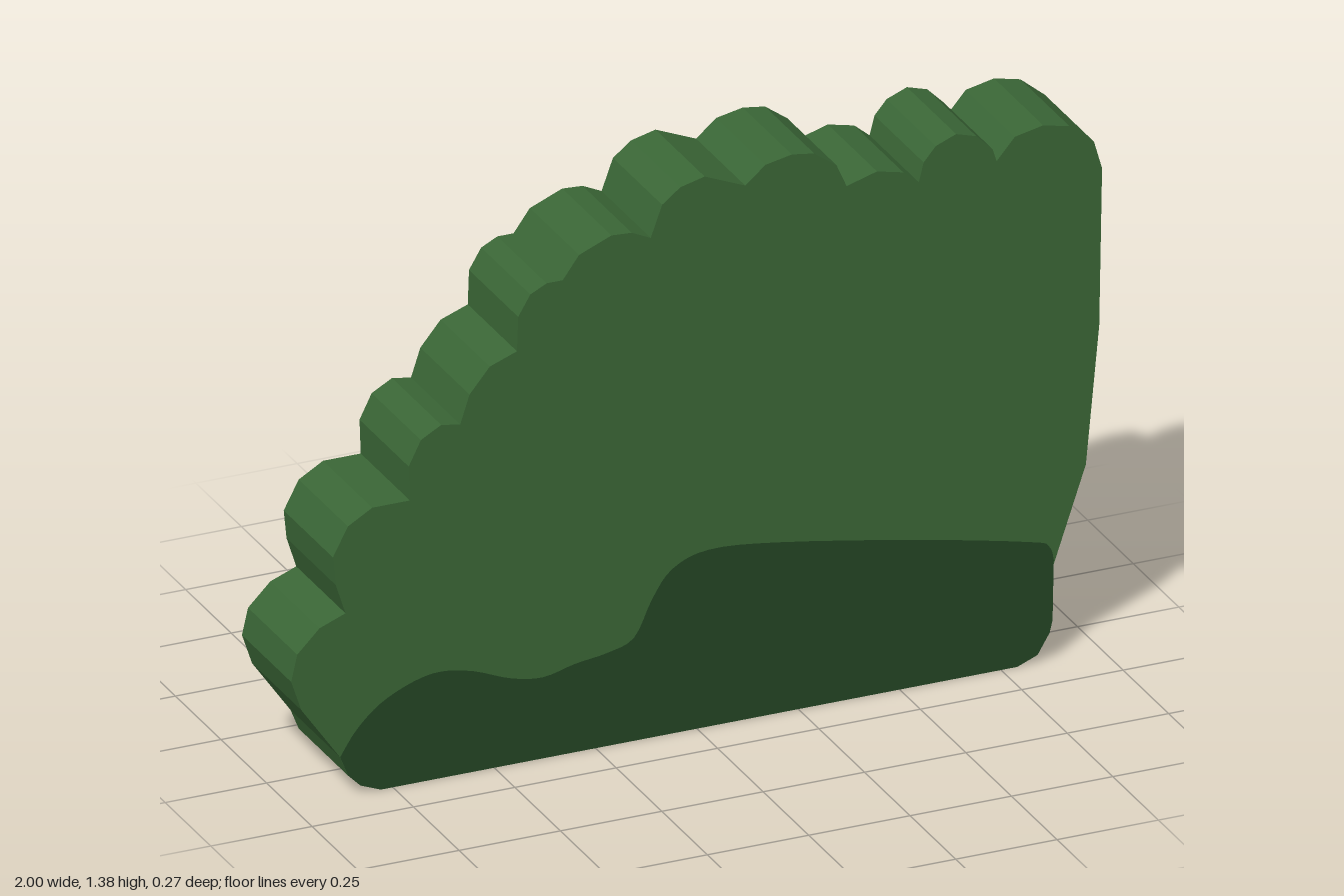
import * as THREE from 'three';

const DEPTH = 0.27;

// Lower body and right flank, from bottom left round to the first leaf clump
const BASE = [
  [-0.78, 0], [0.79, 0], [0.84, 0.02], [0.87, 0.07], [0.877, 0.1], [0.88, 0.235],
  [0.96, 0.47], [0.993, 0.81], [1, 1.2],
];

// Leaf clumps, right to left; each ends at the notch before the next one
const CLUMPS = [
  [[0.98, 1.27], [0.92, 1.32], [0.855, 1.335], [0.785, 1.32], [0.74, 1.268]],
  [[0.73, 1.3], [0.69, 1.34], [0.64, 1.355], [0.59, 1.335], [0.56, 1.3], [0.548, 1.253]],
  [[0.51, 1.285], [0.445, 1.3], [0.37, 1.278]],
  [[0.345, 1.335], [0.29, 1.375], [0.235, 1.383], [0.17, 1.37], [0.12, 1.328]],
  [[0.02, 1.37], [-0.04, 1.355], [-0.085, 1.32], [-0.113, 1.243]],
  [[-0.16, 1.265], [-0.21, 1.268], [-0.29, 1.235], [-0.33, 1.18]],
  [[-0.37, 1.18], [-0.41, 1.16], [-0.44, 1.11], [-0.443, 1.025]],
  [[-0.51, 1], [-0.56, 0.94], [-0.583, 0.87]],
  [[-0.63, 0.878], [-0.68, 0.85], [-0.71, 0.79], [-0.707, 0.705]],
  [[-0.8, 0.705], [-0.86, 0.67], [-0.897, 0.6], [-0.89, 0.53], [-0.866, 0.455]],
  [[-0.93, 0.43], [-0.985, 0.375], [-1, 0.31], [-0.975, 0.235]],
  [[-0.88, 0.1], [-0.86, 0.05], [-0.83, 0.02]],
];

// Wavy upper border of the dark undergrowth, right to left
const WAVE = [
  [0.88, 0.25], [0.868, 0.285], [0.82, 0.305], [0.54, 0.365], [0.2, 0.425], [0.03, 0.44],
  [-0.06, 0.41], [-0.11, 0.345], [-0.155, 0.257], [-0.22, 0.232], [-0.3, 0.22],
  [-0.38, 0.202], [-0.46, 0.215], [-0.55, 0.25], [-0.63, 0.265], [-0.7, 0.253],
  [-0.78, 0.215], [-0.84, 0.16], [-0.88, 0.1],
];

const toPoints = (list) => list.map(([x, y]) => new THREE.Vector2(x, y));

export function createModel() {
  const group = new THREE.Group();
  group.name = 'bush';
  const leafGreen = new THREE.MeshStandardMaterial({ color: 0x3a6636 });
  leafGreen.name = 'leafGreen';
  const shadeGreen = new THREE.MeshStandardMaterial({ color: 0x234524 });
  shadeGreen.name = 'shadeGreen';

  // Solid scalloped bush, flat front and back
  const outline = new THREE.Shape(toPoints([...BASE, ...CLUMPS.flat()]));
  const bodyGeometry = new THREE.ExtrudeGeometry(outline, { depth: DEPTH, bevelEnabled: false });
  bodyGeometry.translate(0, 0, -DEPTH / 2);
  const body = new THREE.Mesh(bodyGeometry, leafGreen);
  body.name = 'foliage';
  group.add(body);

  // Dark undergrowth face on both sides
  const wave = new THREE.SplineCurve(toPoints(WAVE)).getPoints(72);
  const corner = toPoints([[-0.86, 0.05], [-0.83, 0.02], ...BASE.slice(0, 5)]);
  const patchGeometry = new THREE.ShapeGeometry(new THREE.Shape([...corner, ...wave]));
  for (const side of [1, -1]) {
    const geometry = patchGeometry.clone();
    if (side < 0) {
      // Reverse the corner order so the back face looks outward
      const index = geometry.index.array;
      for (let i = 0; i < index.length; i += 3) [index[i], index[i + 1]] = [index[i + 1], index[i]];
      geometry.computeVertexNormals();
    }
    const patch = new THREE.Mesh(geometry, shadeGreen);
    patch.name = side > 0 ? 'frontUndergrowth' : 'backUndergrowth';
    patch.position.z = side * (DEPTH / 2 + 0.002);
    group.add(patch);
  }
  return group;
}
